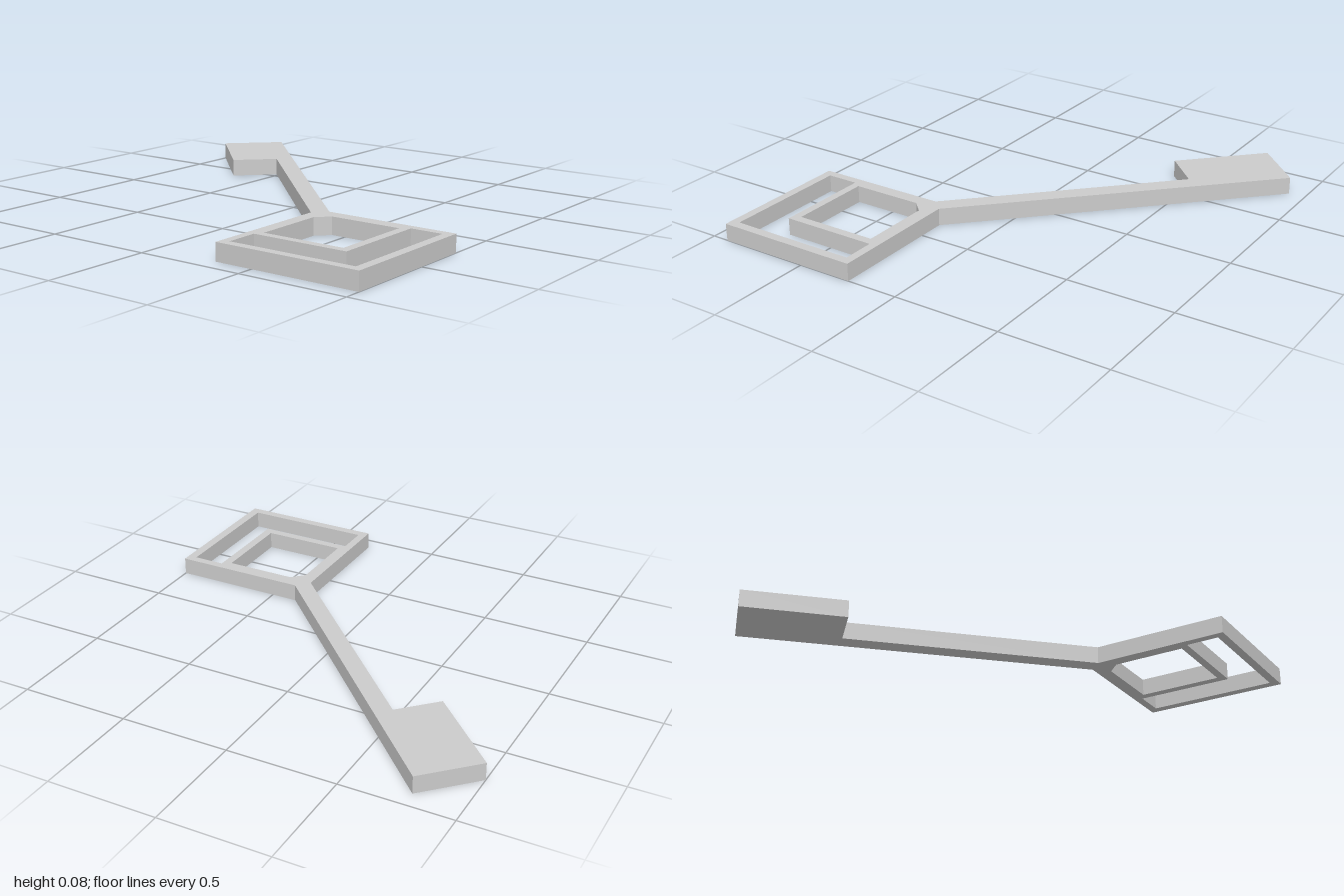
import * as THREE from 'three';

const THICKNESS = 0.08;

// Plan points are [x, z]
const toPoints = (plan) => plan.map(([x, z]) => new THREE.Vector2(x, z));

export function createModel() {
  const group = new THREE.Group();
  group.name = 'key';

  // Outline: bit at the back left, diagonal shank, square bow at the front
  const outline = new THREE.Shape(toPoints([
    [-1, -0.71], [-0.785, -0.922],               // end of the bit
    [0.376, 0.242], [1, 0.242],                  // shank into the bow
    [1, 0.922], [0.322, 0.922], [0.322, 0.3],    // bow corners
    [-0.515, -0.535], [-0.67, -0.38],            // shank back to the bit
  ]));

  // Square window with a chamfer where the shank joins
  const window = new THREE.Path(toPoints([
    [0.382, 0.362], [0.437, 0.306], [0.77, 0.306], [0.77, 0.695], [0.382, 0.695],
  ]));

  // L-shaped slot between the inner square and the outer rim
  const slot = new THREE.Path(toPoints([
    [0.81, 0.28], [0.958, 0.28], [0.958, 0.882], [0.36, 0.882], [0.36, 0.732], [0.81, 0.732],
  ]));

  outline.holes.push(window, slot);

  // Lay the plate flat so plan y becomes z, resting on the ground
  const geometry = new THREE.ExtrudeGeometry(outline, { depth: THICKNESS, bevelEnabled: false });
  geometry.rotateX(Math.PI / 2).translate(0, THICKNESS, 0);

  const plate = new THREE.Mesh(
    geometry,
    new THREE.MeshStandardMaterial({ color: 0xcccccc, flatShading: true }),
  );
  plate.name = 'keyPlate';
  group.add(plate);
  return group;
}
